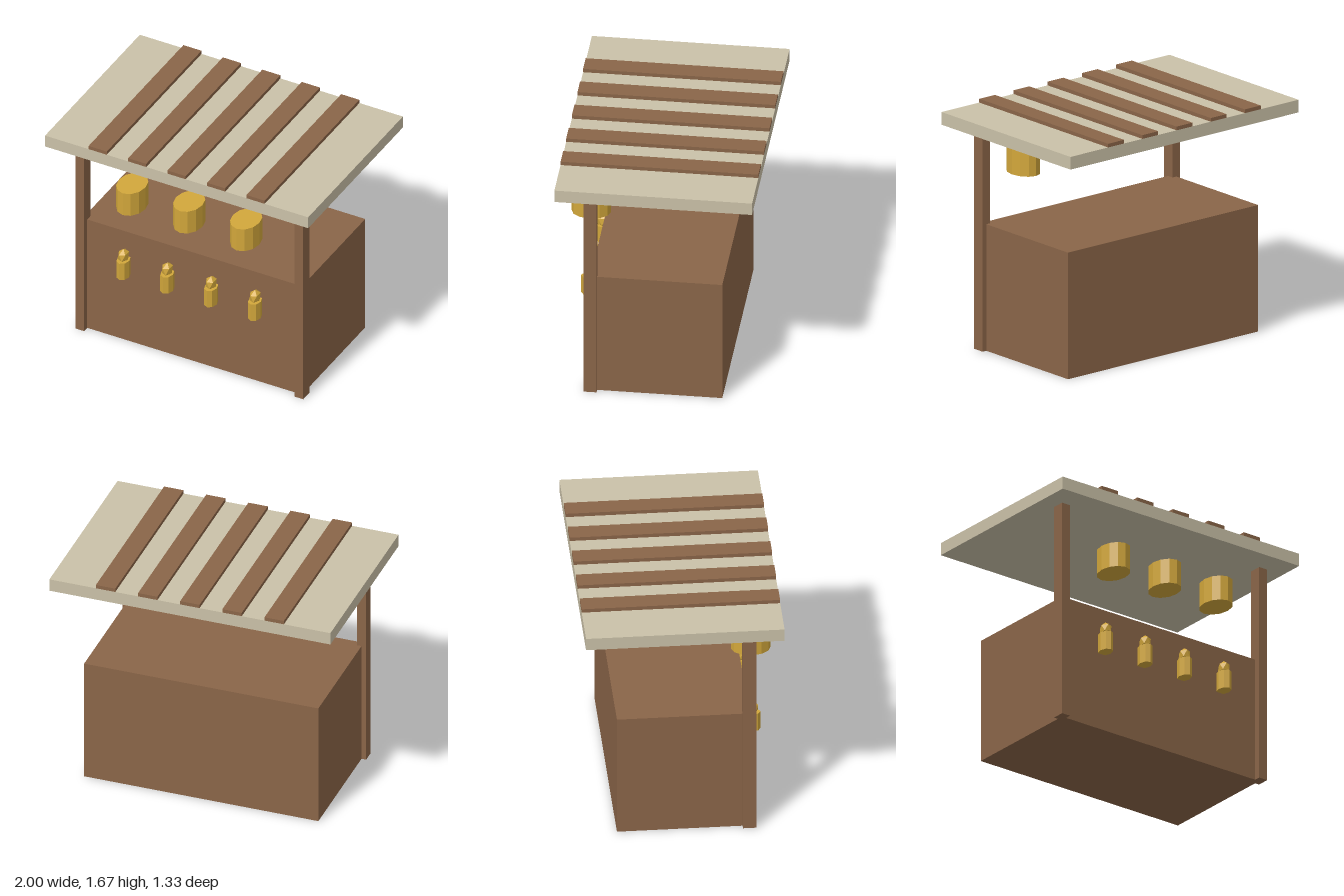
import * as THREE from 'three';

export function createModel() {
  const stall = new THREE.Group();
  stall.name = 'marketStall';

  const material = (name, color) => {
    const m = new THREE.MeshStandardMaterial({ color });
    m.name = name;
    return m;
  };
  const wood = material('wood', 0x8a6548);
  const canvas = material('canvas', 0xcac1a8);
  const gold = material('gold', 0xd2a73b);

  const add = (name, geometry, mat, x, y, z) => {
    const mesh = new THREE.Mesh(geometry, mat);
    mesh.name = name;
    mesh.position.set(x, y, z);
    stall.add(mesh);
    return mesh;
  };
  // Box standing on height y0 and reaching y1
  const box = (name, mat, w, y0, y1, d, x, z) =>
    add(name, new THREE.BoxGeometry(w, y1 - y0, d), mat, x, (y0 + y1) / 2, z);
  // Faceted oval drum, with per-face normals
  const drum = (rx, h, rz, sides) =>
    new THREE.CylinderGeometry(1, 1, h, sides).scale(rx, 1, rz).toNonIndexed();

  // Counter and the two front posts
  box('counter', wood, 1.667, 0, 0.886, 0.889, 0, 0);
  for (const side of [-1, 1]) {
    box(side > 0 ? 'leftPost' : 'rightPost', wood, 0.067, 0, 1.555, 0.089, side * 0.833, 0.444);
  }

  // Flat roof with raised slats
  box('roof', canvas, 2, 1.553, 1.642, 1.333, 0, 0);
  for (let i = -2; i <= 2; i++) {
    box('roofSlat', wood, 0.138, 1.642, 1.668, 1.333, i * 0.3, 0);
  }

  // Hanging lanterns
  const lanternGeometry = drum(0.1, 0.177, 0.133, 12);
  lanternGeometry.computeVertexNormals();
  for (let i = -1; i <= 1; i++) {
    add('lantern', lanternGeometry, gold, i * 0.433, 1.242, 0.489);
  }

  // Bottles with faceted stoppers on the counter front
  const bottleGeometry = drum(0.0435, 0.133, 0.06, 8);
  bottleGeometry.computeVertexNormals();
  const stopperGeometry = new THREE.IcosahedronGeometry(1, 0)
    .rotateX(-Math.atan((1 + Math.sqrt(5)) / 2)) // stand it on a corner
    .rotateY(-Math.PI / 2)
    .scale(0.039, 0.052, 0.052);
  stopperGeometry.computeVertexNormals();
  for (let i = 0; i < 4; i++) {
    const x = -0.5 + i / 3;
    add('bottle', bottleGeometry, gold, x, 0.622, 0.489);
    add('bottleStopper', stopperGeometry, gold, x, 0.721, 0.489);
  }

  return stall;
}
